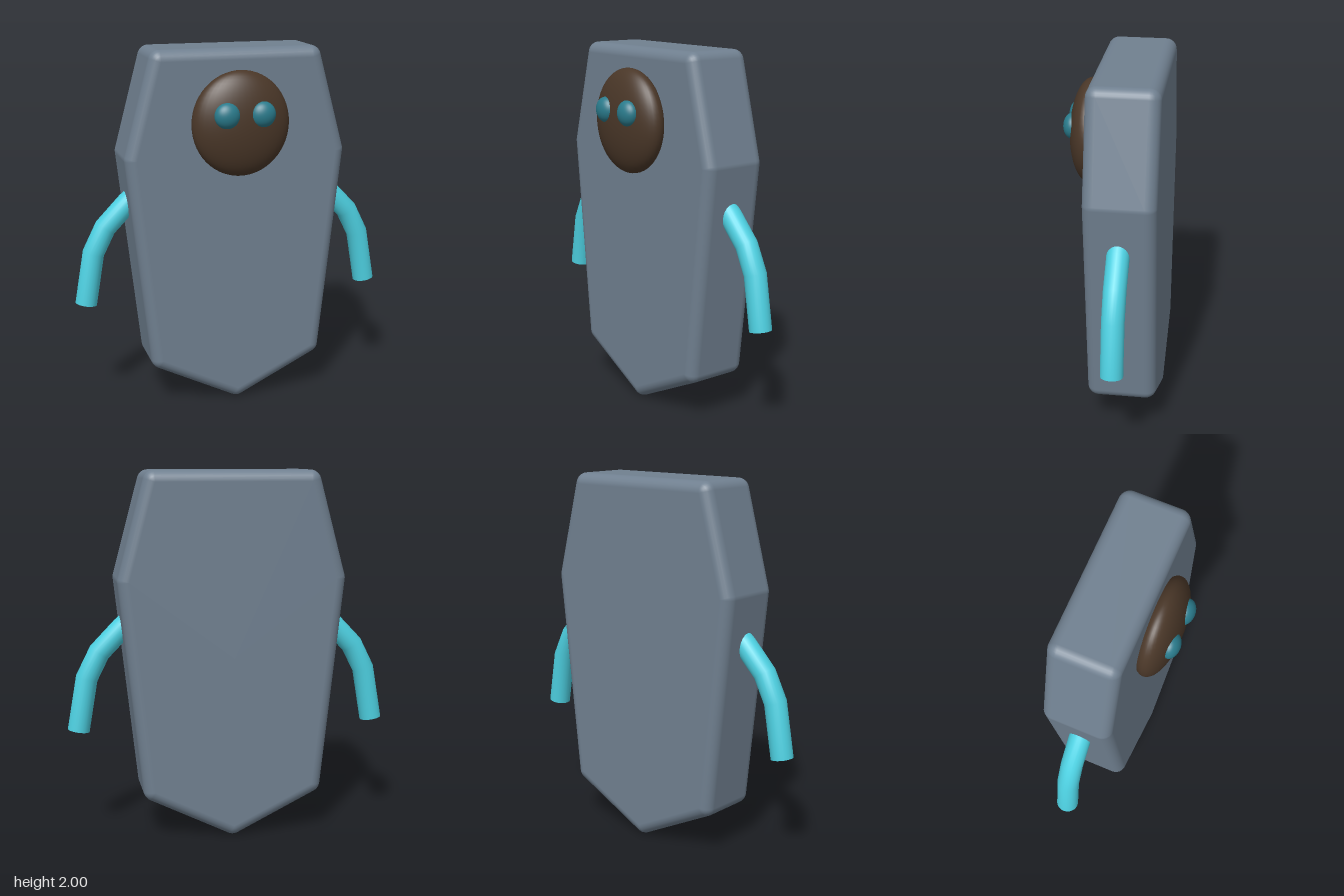
import * as THREE from 'three';

const paint = (color, side = THREE.FrontSide) => new THREE.MeshStandardMaterial({ color, side });

// Convex counter-clockwise outline swept into a slab whose corners and edges are all rounded by r
function roundedSlab(core, r, zBack, zFront, arcSteps = 6, edgeSteps = 6) {
  const n = core.length;
  const edgeAngle = core.map(([x, y], i) => {
    const [x2, y2] = core[(i + 1) % n];
    return Math.atan2(-(x2 - x), y2 - y);
  });
  const outline = [];
  core.forEach(([x, y], i) => {
    const from = edgeAngle[(i + n - 1) % n];
    let turn = edgeAngle[i] - from;
    if (turn < 0) turn += Math.PI * 2;
    for (let s = 0; s <= arcSteps; s++) {
      const a = from + turn * s / arcSteps;
      outline.push([x, y, Math.cos(a), Math.sin(a)]);
    }
  });

  const pos = [], nor = [], index = [], m = outline.length;
  const rings = 2 * (edgeSteps + 1);
  for (let k = 0; k < rings; k++) {
    const front = k <= edgeSteps;
    const phi = Math.PI / 2 * (front ? 1 - k / edgeSteps : -(k - edgeSteps - 1) / edgeSteps);
    const c = Math.cos(phi), s = Math.sin(phi);
    const zc = front ? zFront - r : zBack + r;
    for (const [x, y, nx, ny] of outline) {
      pos.push(x + r * c * nx, y + r * c * ny, zc + r * s);
      nor.push(c * nx, c * ny, s);
    }
  }
  for (let k = 0; k < rings - 1; k++) {
    for (let i = 0; i < m; i++) {
      const j = (i + 1) % m;
      const a = k * m + i, b = k * m + j, c = a + m, d = b + m;
      index.push(a, c, b, b, c, d);
    }
  }
  // Flat front and back
  const f = rings * m, last = (rings - 1) * m;
  pos.push(0, 1, zFront, 0, 1, zBack);
  nor.push(0, 0, 1, 0, 0, -1);
  for (let i = 0; i < m; i++) {
    const j = (i + 1) % m;
    index.push(f, i, j, f + 1, last + j, last + i);
  }
  const geo = new THREE.BufferGeometry();
  geo.setAttribute('position', new THREE.Float32BufferAttribute(pos, 3));
  geo.setAttribute('normal', new THREE.Float32BufferAttribute(nor, 3));
  geo.setIndex(index);
  return geo;
}

function ellipsoid(name, material, radii, position) {
  const mesh = new THREE.Mesh(new THREE.SphereGeometry(1, 40, 28), material);
  mesh.name = name;
  mesh.scale.set(...radii);
  mesh.position.set(...position);
  return mesh;
}

// Bent arm with one straight piece between each pair of joints, open at the hand
function arm(name, side, material) {
  const joints = [[0.45, 1.27], [0.585, 1.155], [0.71, 1.025], [0.78, 0.885], [0.83, 0.595]];
  const path = new THREE.CatmullRomCurve3(joints.map(([x, y]) => new THREE.Vector3(side * x, y, -0.08)));
  path.getPointAt = path.getPoint;
  path.getTangentAt = path.getTangent;
  const mesh = new THREE.Mesh(new THREE.TubeGeometry(path, joints.length - 1, 0.06, 24), material);
  mesh.name = name;
  return mesh;
}

export function createModel() {
  const model = new THREE.Group();
  model.name = 'slabFigure';

  // Body: coffin-shaped slab
  const half = [[0.435, 0.275], [0.56, 1.42], [0.42, 1.94]];
  const core = [[0, 0.06], ...half, ...half.map(([x, y]) => [-x, y]).reverse()];
  const body = new THREE.Mesh(roundedSlab(core, 0.06, -0.275, 0.105), paint(0x708090));
  body.name = 'body';
  model.add(body);

  // Face and eyes
  model.add(ellipsoid('face', paint(0x4a3728), [0.27, 0.285, 0.11], [0, 1.605, 0.14]));
  const eyeMaterial = paint(0x2a7b8c);
  const armMaterial = paint(0x4dd0e1, THREE.DoubleSide);
  for (const [label, side] of [['left', 1], ['right', -1]]) {
    model.add(ellipsoid(label + 'Eye', eyeMaterial, [0.07, 0.07, 0.05], [side * 0.098, 1.663, 0.225]));
    model.add(arm(label + 'Arm', side, armMaterial));
  }
  return model;
}
